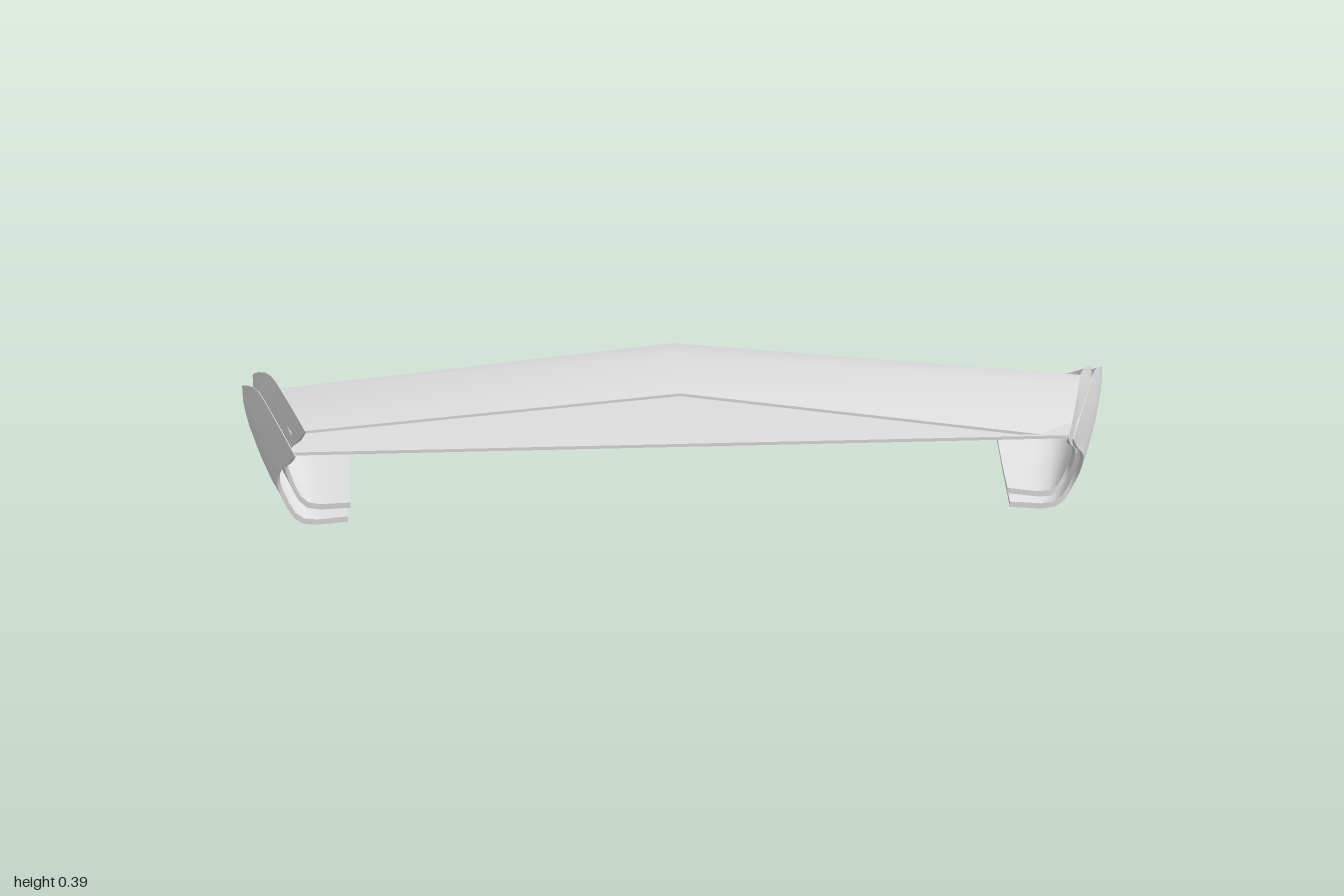
import * as THREE from 'three';
import { toCreasedNormals } from 'three/addons/utils/BufferGeometryUtils.js';

// Lofts a thin closed slab: each row is { skin, back }, two matching lists of points
function slab(rows, crease) {
  const m = rows[0].skin.length, n = 2 * m;
  const rings = rows.map(r => [...r.skin, ...[...r.back].reverse()]);
  const pos = rings.flat().flatMap(p => [p.x, p.y, p.z]);
  const tris = [];
  const quad = (a, b, c, d) => tris.push([a, b, c], [a, c, d]);
  const last = (rings.length - 1) * n;
  for (let i = 0; i < rings.length - 1; i++) {
    for (let j = 0; j < n; j++) {
      const k = (j + 1) % n;
      quad(i * n + j, i * n + k, (i + 1) * n + k, (i + 1) * n + j);
    }
  }
  // end caps
  for (let j = 0; j < m - 1; j++) {
    quad(n - 1 - j, n - 2 - j, j + 1, j);
    quad(last + j, last + j + 1, last + n - 2 - j, last + n - 1 - j);
  }
  // turn all faces outward
  const flat = rings.flat();
  const centre = flat.reduce((s, p) => s.add(p), new THREE.Vector3()).divideScalar(flat.length);
  let volume = 0;
  for (const [a, b, c] of tris) {
    const [p, q, r] = [a, b, c].map(i => flat[i].clone().sub(centre));
    volume += p.dot(q.cross(r));
  }
  const index = tris.flatMap(([a, b, c]) => (volume < 0 ? [a, c, b] : [a, b, c]));
  const geo = new THREE.BufferGeometry();
  geo.setAttribute('position', new THREE.Float32BufferAttribute(pos, 3));
  geo.setIndex(index);
  return toCreasedNormals(geo, crease);
}

// Wing blade from stations { x: [front, mid, rear], z: [...], y: [...], t: thickness [...] }
function blade(stations) {
  return slab(stations.map(s => ({
    skin: s.y.map((y, i) => new THREE.Vector3(s.x[i], y, s.z[i])),
    back: s.y.map((y, i) => new THREE.Vector3(s.x[i], y - s.t[i], s.z[i])),
  })), 0.6);
}

// Lengthwise rails of an end plate, from the top edge round to the inner edge of the foot
const RAILS = [
  [[.905, .325, .42], [.945, .31, .2], [.975, .27, -.01], [1, .178, -.2], [.967, .095, -.33], [.885, .025, -.42]],
  [[.918, .255, .33], [.953, .22, .16], [.984, .19, -.03], [.996, .14, -.2], [.957, .08, -.33], [.88, .024, -.42]],
  [[.938, .17, .225], [.957, .14, .1], [.976, .113, -.05], [.981, .088, -.2], [.941, .055, -.33], [.865, .022, -.42]],
  [[.925, .075, .155], [.94, .063, .05], [.952, .052, -.08], [.95, .043, -.2], [.915, .033, -.32], [.84, .021, -.415]],
  [[.88, .005, .155], [.885, .003, .05], [.893, .004, -.08], [.89, .008, -.2], [.875, .014, -.31], [.81, .02, -.41]],
  [[.77, .005, .155], [.765, .005, .05], [.76, .008, -.08], [.755, .01, -.2], [.755, .014, -.31], [.755, .02, -.4]],
];

// move(point, u, v) shifts each point: u runs front to back, v from top edge to foot
function plate(side, thick, move) {
  const U = 16, V = 16;
  const rails = RAILS.map(r => new THREE.CatmullRomCurve3(r.map(p => new THREE.Vector3(...p)), false, 'centripetal'));
  const rows = [];
  for (let i = 0; i <= U; i++) {
    const u = i / U;
    const cross = new THREE.CatmullRomCurve3(rails.map(r => r.getPoint(u)), false, 'centripetal');
    const skin = [], back = [];
    for (let j = 0; j <= V; j++) {
      const v = j / V;
      const p = move(cross.getPoint(v), u, v);
      const t = thick * (1 - 0.6 * u) * Math.min(1, 0.15 + 3 * v);
      skin.push(new THREE.Vector3(p.x * side, p.y, p.z));
      back.push(new THREE.Vector3((p.x - t * (1 - v)) * side, p.y + t * Math.min(1, 1.6 * v), p.z));
    }
    rows.push({ skin, back });
  }
  return slab(rows, 0.8);
}

export function createModel() {
  const model = new THREE.Group();
  const paint = new THREE.MeshStandardMaterial({ color: 0xe4e4e4, side: THREE.DoubleSide });
  paint.name = 'light grey paint';
  const add = (name, geo, parent = model) => {
    const mesh = new THREE.Mesh(geo, paint);
    mesh.name = name;
    parent.add(mesh);
  };

  // Peaked upper blade, highest at the centre and dipping further on its left half
  const edge = [.007, .018, .026];
  add('upperBlade', blade([
    { x: [-.91, -.94, -.945], z: [.272, -.01, -.12], y: [.308, .268, .208], t: edge },
    { x: [0, 0, 0], z: [.22, -.05, -.172], y: [.36, .32, .28], t: edge },
    { x: [.92, .945, .95], z: [.272, -.01, -.12], y: [.246, .236, .2], t: edge },
  ]));

  // Straight lower blade
  add('lowerBlade', blade([-1, 1].map(s => ({
    x: [s * .91, s * .94, s * .945], z: [.278, 0, -.11], y: [.258, .217, .192], t: [.008, .018, .024],
  }))));

  // End plates: an outer shell with a second shell nested inside it
  for (const [side, label, tipLift, tipInset] of [[1, 'left', 0, .004], [-1, 'right', .06, .018]]) {
    const group = new THREE.Group();
    group.name = label + 'EndPlate';
    add('outerShell', plate(side, .014, p => p), group);
    add('innerShell', plate(side, .014, (p, u, v) => {
      const inset = THREE.MathUtils.lerp(tipInset, .024, Math.min(1, 3 * u + 2 * v));
      p.x -= inset * (1 - v) * (1 - .5 * u * u) + .006;
      p.y += (tipLift * (1 - u) + .004 * u) * (1 - v) + v * (.042 - .026 * u);
      p.z += v * .01 - (1 - v) * tipInset * .5 + u * .008;
      return p;
    }), group);
    model.add(group);
  }
  return model;
}
